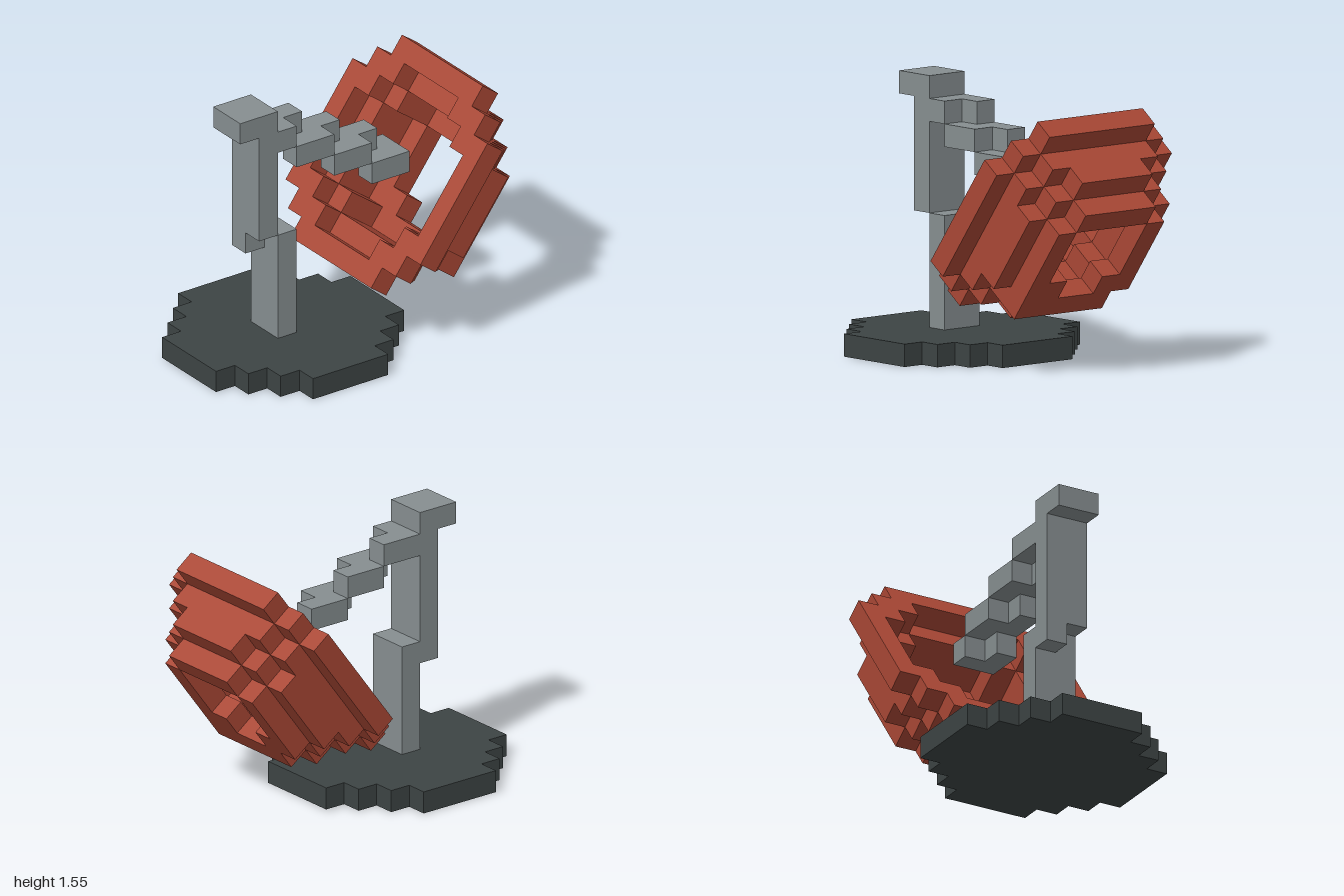
import * as THREE from 'three';
import { mergeGeometries } from 'three/addons/utils/BufferGeometryUtils.js';

const U = 0.129; // one block

const material = (name, color) => {
  const m = new THREE.MeshStandardMaterial({ color });
  m.name = name;
  return m;
};

// box from its limits, in blocks
const block = (x0, x1, y0, y1, z0, z1) =>
  new THREE.BoxGeometry((x1 - x0) * U, (y1 - y0) * U, (z1 - z0) * U)
    .translate((x0 + x1) / 2 * U, (y0 + y1) / 2 * U, (z0 + z1) / 2 * U);

const addPart = (parent, name, mat, blocks) => {
  const mesh = new THREE.Mesh(mergeGeometries(blocks), mat);
  mesh.name = name;
  parent.add(mesh);
  return mesh;
};

// Spans [low, high] per column, counted outwards from the middle and mirrored;
// the optional hole spans are cut out of the outer ones.
const forColumns = (outer, hole, make) => {
  const out = [];
  outer.forEach(([lo, hi], i) => {
    const spans = hole[i] ? [[lo, hole[i][0]], [hole[i][1], hi]] : [[lo, hi]];
    for (const [a, b] of spans) {
      out.push(make(a, b, i, i + 1), make(a, b, -i - 1, -i));
    }
  });
  return out;
};

export function createModel() {
  const model = new THREE.Group();
  model.name = 'deskLamp';
  const dark = material('dark base', 0x3d4444);
  const metal = material('grey metal', 0x868e90);
  const red = material('red shade', 0xa94735);

  // stepped round foot
  const foot = addPart(model, 'base', dark, forColumns(
    [[0, 10], [0, 10], [1, 9], [2, 8], [3, 7]], [],
    (a, b, z0, z1) => block(a, b, 0, 1, z0, z1)));
  foot.position.x = -1;

  // stand, counted from the left end of the foot
  const stand = new THREE.Group();
  stand.name = 'stand';
  stand.position.x = -1;
  model.add(stand);
  addPart(stand, 'lowerPost', metal, [block(4, 5, 1, 6, -1, 1)]);
  addPart(stand, 'upperPost', metal, [block(3, 4, 6, 11, 0, 1), block(3, 4, 5, 11, -1, 0)]);
  addPart(stand, 'armEnd', metal, [block(2, 4, 11, 12, -1, 1)]);

  // descending arm, its two halves staggered by one block
  const frontStops = [4, 5, 7, 9, 11];
  const backStops = [4, 6, 8, 10, 11];
  const steps = [];
  for (let i = 0; i < 4; i++) {
    const y = 10 - i;
    steps.push(block(frontStops[i], frontStops[i + 1], y, y + 1, 0, 1));
    steps.push(block(backStops[i], backStops[i + 1], y, y + 1, -1, 0));
  }
  addPart(stand, 'steppedArm', metal, steps);

  // tilted shade: hollow layers from the wide rim to the narrow end
  const shade = new THREE.Group();
  shade.name = 'shade';
  shade.position.set(-0.03, 0.415, 0);
  shade.rotation.z = -0.637;
  model.add(shade);
  const round4 = [[1, 9], [1, 9], [2, 8], [3, 7]];
  const round3 = [[2, 8], [2, 8], [3, 7]];
  const layers = [
    { name: 'shadeRim', outer: [[0, 10], [0, 10], [0, 10], [1, 9], [2, 8]], hole: round4 },
    { name: 'shadeWall', outer: [[1, 9], [1, 9], [1, 9], [2, 8]], hole: round3 },
    { name: 'shadeShoulder', outer: round4, hole: round3 },
    { name: 'shadeCap', outer: round3, hole: [[3, 7], [4, 7]] },
  ];
  layers.forEach(({ name, outer, hole }, k) => {
    const blocks = forColumns(outer, hole, (a, b, z0, z1) => block(k, k + 1, a, b, z0, z1));
    if (name === 'shadeCap') blocks.push(block(3, 4, 2, 3, 2, 3)); // odd corner block
    addPart(shade, name, red, blocks);
  });

  return model;
}
